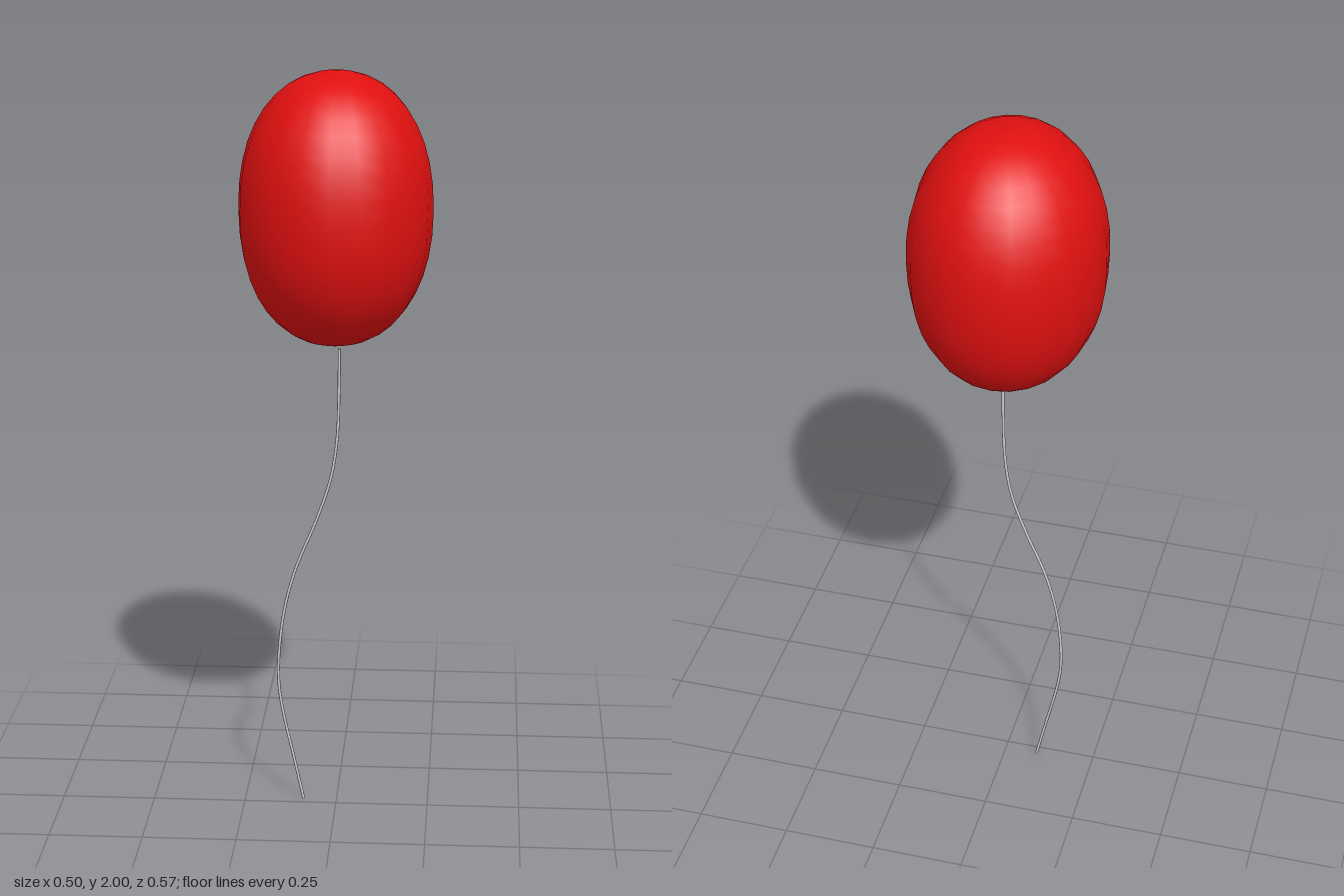
import * as THREE from 'three';

export function createModel() {
  const model = new THREE.Group();
  model.name = 'balloonOnString';

  // Balloon: slightly squared oval profile, 20 sides, a little deeper than wide
  const power = 2 / 2.2;
  const rings = 20;
  const profile = [];
  for (let i = 0; i <= rings; i++) {
    const a = -Math.PI / 2 + (Math.PI * i) / rings;
    const r = i === 0 || i === rings ? 0 : Math.pow(Math.cos(a), power);
    const y = Math.sign(a) * Math.pow(Math.abs(Math.sin(a)), power);
    profile.push(new THREE.Vector2(r, y));
  }
  const balloonGeometry = new THREE.LatheGeometry(profile, 20);
  balloonGeometry.scale(0.25, 0.352, 0.283);
  const balloon = new THREE.Mesh(
    balloonGeometry,
    new THREE.MeshStandardMaterial({ color: 0xe01010 })
  );
  balloon.name = 'balloon';
  balloon.position.y = 1.648;
  model.add(balloon);

  // String: thin tube swaying sideways, hanging just below the balloon
  const sway = [
    [0.008, 1.275], [0.007, 1.16], [0.002, 1.03], [-0.015, 0.92],
    [-0.055, 0.8], [-0.108, 0.67], [-0.14, 0.55], [-0.156, 0.415],
    [-0.156, 0.335], [-0.146, 0.26], [-0.118, 0.13], [-0.09, 0],
  ];
  const path = new THREE.CatmullRomCurve3(
    sway.map(([x, y]) => new THREE.Vector3(x, y, -0.024))
  );
  const string = new THREE.Mesh(
    new THREE.TubeGeometry(path, 40, 0.004, 8),
    new THREE.MeshStandardMaterial({ color: 0xcccccc, side: THREE.DoubleSide })
  );
  string.name = 'string';
  model.add(string);

  return model;
}
